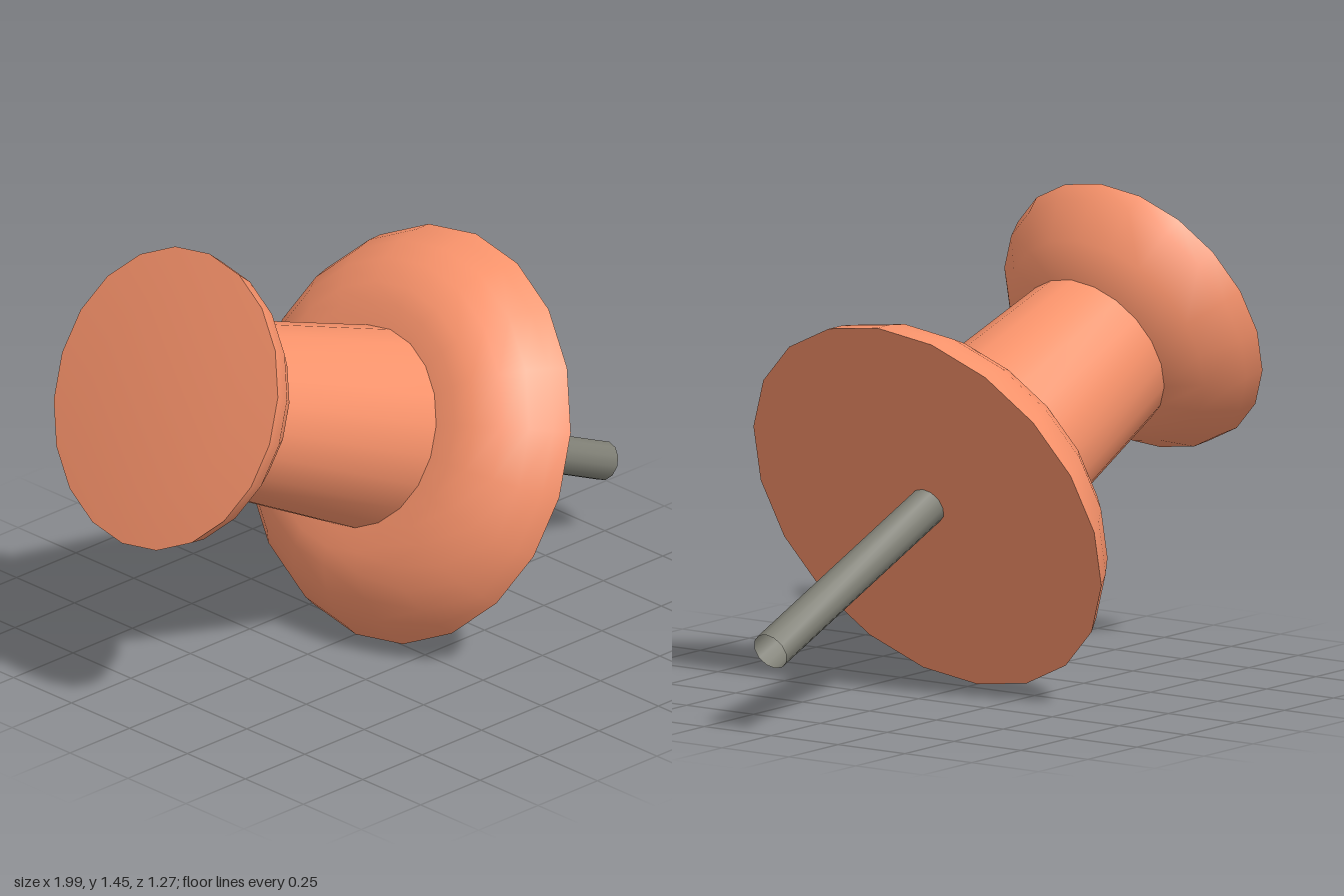
import * as THREE from 'three';
import { toCreasedNormals } from 'three/addons/utils/BufferGeometryUtils.js';

const SIDES = 20;

export function createModel() {
  const plastic = new THREE.MeshStandardMaterial({ color: 0xf9936b });
  const metal = new THREE.MeshStandardMaterial({ color: 0x7f7f75, side: THREE.DoubleSide });
  const pin = new THREE.Group();
  pin.name = 'pushPin';

  // Turned part from [radius, height] pairs, listed from bottom to top
  const turn = (name, profile, material, sides = SIDES) => {
    const points = profile.map(([r, h]) => new THREE.Vector2(r, h));
    const geometry = toCreasedNormals(new THREE.LatheGeometry(points, sides), 0.8);
    const mesh = new THREE.Mesh(geometry, material);
    mesh.name = name;
    pin.add(mesh);
  };

  // Wide collar with a flat underside and a rounded shoulder
  turn('collar', [
    [0, 0], [0.636, 0], [0.614, 0.055], [0.576, 0.12], [0.519, 0.18],
    [0.442, 0.225], [0.38, 0.24], [0.305, 0.243], [0, 0.243],
  ], plastic);

  // Tapered grip
  turn('grip', [[0.308, 0.235], [0.262, 0.885]], plastic);

  // Flared head with a slightly domed top
  turn('head', [
    [0, 0.877], [0.262, 0.877], [0.357, 0.95], [0.442, 1.052],
    [0.46, 1.113], [0.3, 1.125], [0, 1.13],
  ], plastic);

  // Metal needle, open at the tip
  turn('needle', [[0.06, -0.836], [0.06, 0.02]], metal, 12);

  // Lay the pin over, resting on the rim of its collar
  const axis = new THREE.Vector3(-0.917, 0.398, -0.029).normalize();
  const side = new THREE.Vector3().crossVectors(axis, new THREE.Vector3(0, 0, 1)).normalize();
  const front = new THREE.Vector3().crossVectors(side, axis);
  pin.quaternion.setFromRotationMatrix(new THREE.Matrix4().makeBasis(side, axis, front));
  pin.position.set(0.205, 0.587, 0);

  const model = new THREE.Group();
  model.add(pin);
  return model;
}
